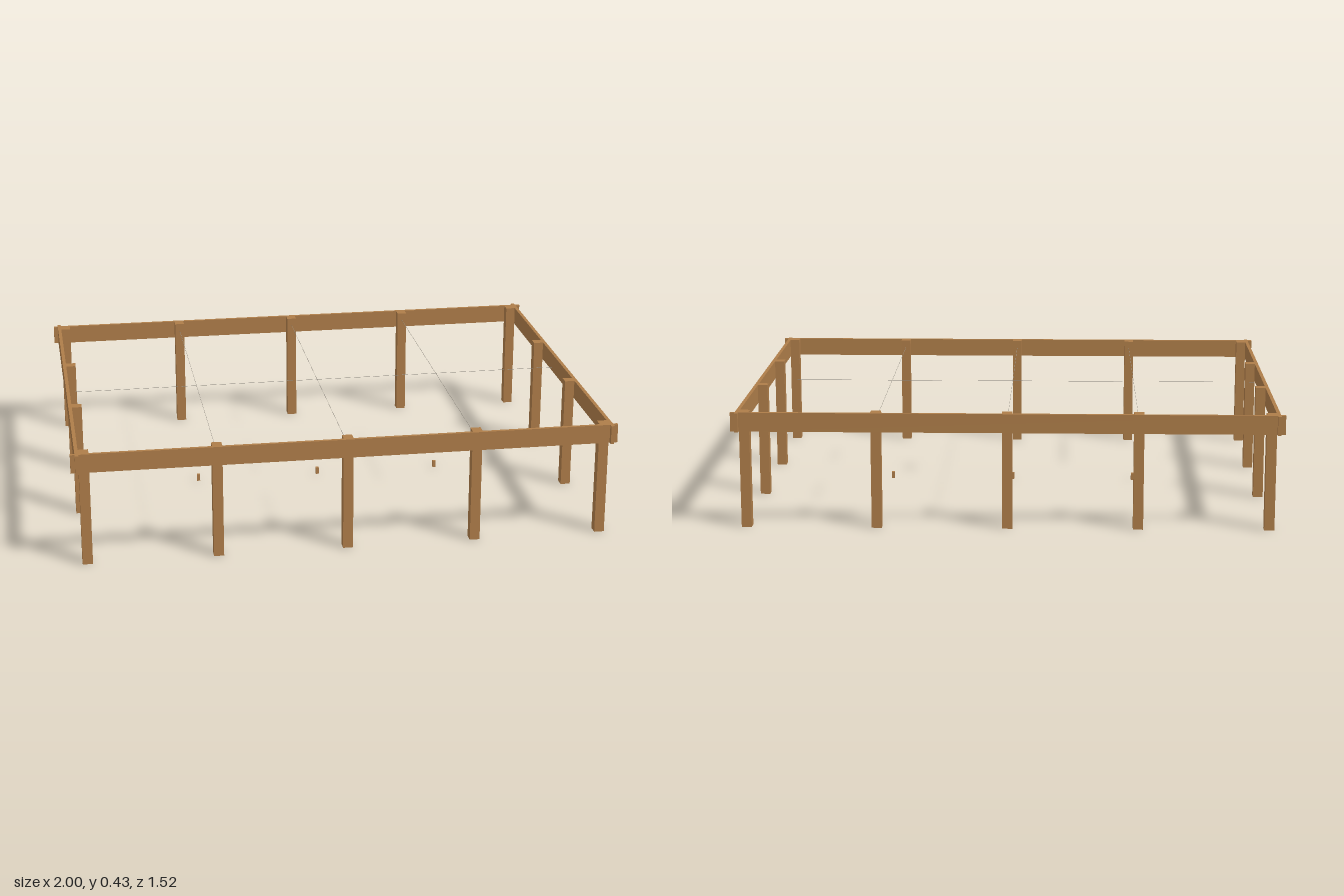
import * as THREE from 'three';

export function createModel() {
  const model = new THREE.Group();
  const wood = new THREE.MeshStandardMaterial({ color: 0xae7d49 });
  wood.name = 'wood';
  const steel = new THREE.MeshStandardMaterial({ color: 0x9a948a });
  steel.name = 'steel';

  const box = (name, material, size, position) => {
    const mesh = new THREE.Mesh(new THREE.BoxGeometry(...size), material);
    mesh.name = name;
    mesh.position.set(...position);
    model.add(mesh);
  };

  const top = 0.43;
  const postSize = 0.037;
  const postX = 0.952, postZ = 0.715;
  const columns = [-postX, -postX / 2, 0, postX / 2, postX];

  const post = (x, z) =>
    box('post', wood, [postSize, top, postSize], [x, top / 2, z]);

  for (const side of [-1, 1]) {
    // Posts along the long edges, corners included
    for (const x of columns) post(x, side * postZ);
    // Posts between the corners on the short edges
    for (const z of [-postZ / 3, postZ / 3]) post(side * postX, z);

    // Boards around the outside, crossing past each other at the corners
    box('longBoard', wood, [2, 0.07, 0.013], [0, top - 0.035, side * 0.74]);
    box('shortBoard', wood, [0.013, 0.07, 1.525], [side * 0.977, top - 0.035, 0]);
  }

  for (const x of columns.slice(1, 4)) {
    // Ground pegs along the middle
    box('groundPeg', wood, [0.012, 0.026, 0.012], [x, 0.015, 0]);
    // Fine wires across the frame
    box('crossWire', steel, [0.001, 0.001, 1.4], [x, 0.4, 0]);
  }
  box('longWire', steel, [1.9, 0.001, 0.001], [0, 0.4, 0]);

  return model;
}
